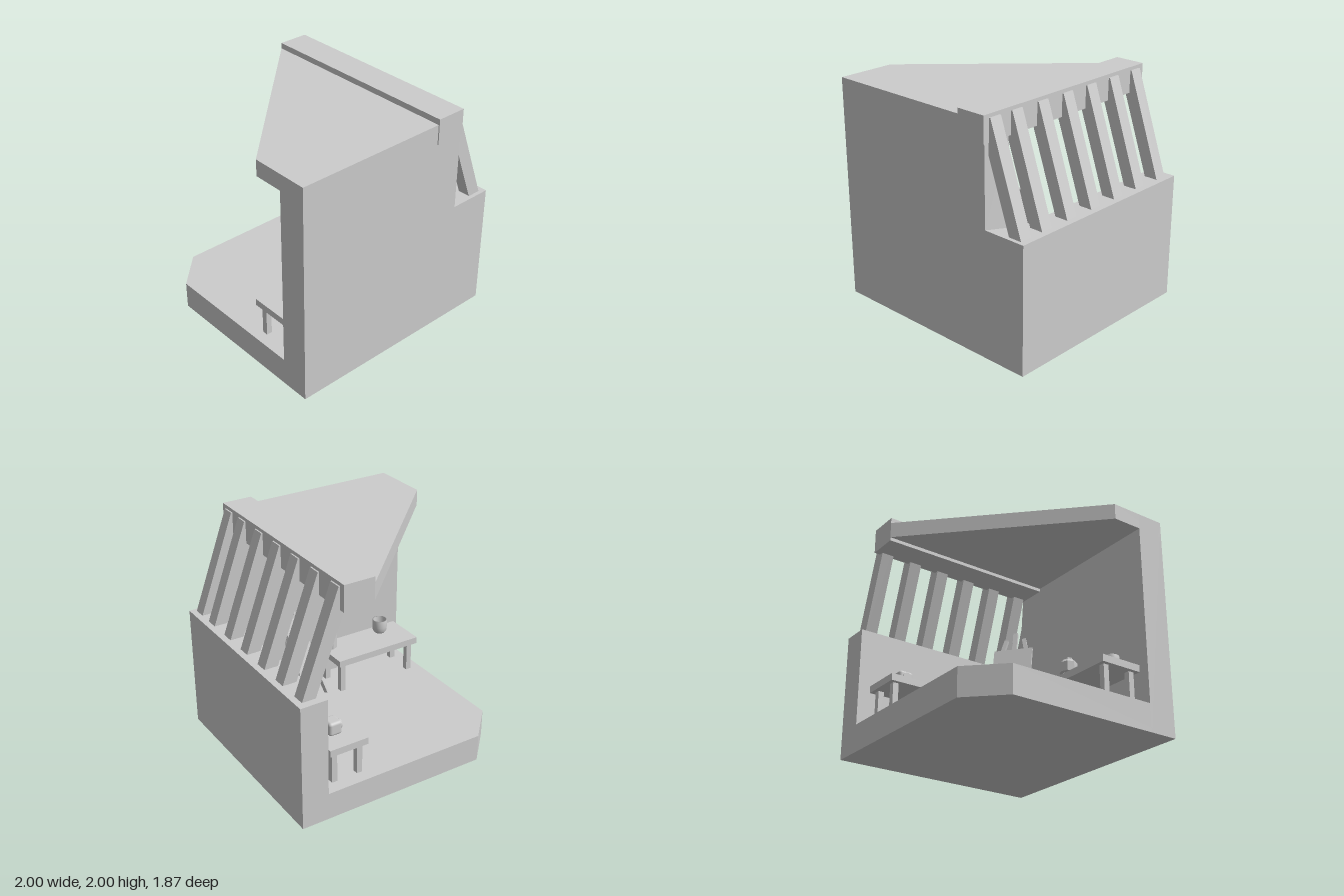
import * as THREE from 'three';
import { RoundedBoxGeometry } from 'three/addons/geometries/RoundedBoxGeometry.js';
import { ConvexGeometry } from 'three/addons/geometries/ConvexGeometry.js';

const grey = new THREE.MeshStandardMaterial({ color: 0xcccccc });
grey.name = 'plain grey';
const greyOpen = grey;
greyOpen.side = THREE.DoubleSide;

const V = (x, y, z) => new THREE.Vector3(x, y, z);

function add(parent, name, geometry, x = 0, y = 0, z = 0) {
  const mesh = new THREE.Mesh(geometry, grey);
  mesh.name = name;
  mesh.position.set(x, y, z);
  parent.add(mesh);
  return mesh;
}

function group(parent, name, x = 0, y = 0, z = 0) {
  const g = new THREE.Group();
  g.name = name;
  g.position.set(x, y, z);
  parent.add(g);
  return g;
}

// Prism from a plan outline of [x, z] points, between two heights
function slab(parent, name, plan, y0, y1) {
  const shape = new THREE.Shape(plan.map(([x, z]) => new THREE.Vector2(x, -z)));
  const geo = new THREE.ExtrudeGeometry(shape, { depth: y1 - y0, bevelEnabled: false });
  geo.rotateX(-Math.PI / 2);
  return add(parent, name, geo, 0, y0, 0);
}

// Square bar between two points
function strut(parent, name, a, b, w, d = w) {
  const mesh = add(parent, name, new THREE.BoxGeometry(w, a.distanceTo(b), d));
  mesh.position.copy(a).lerp(b, 0.5);
  mesh.quaternion.setFromUnitVectors(V(0, 1, 0), b.clone().sub(a).normalize());
  return mesh;
}

function table(parent, name, x0, x1, z0, z1) {
  const floor = 0.24, top = 0.573, thick = 0.06, inset = 0.06;
  const g = group(parent, name);
  add(g, 'tableTop', new THREE.BoxGeometry(x1 - x0, thick, z1 - z0),
    (x0 + x1) / 2, top - thick / 2, (z0 + z1) / 2);
  const h = top - thick - floor;
  for (const x of [x0 + inset, x1 - inset])
    for (const z of [z0 + inset, z1 - inset])
      add(g, 'tableLeg', new THREE.BoxGeometry(0.05, h, 0.05), x, floor + h / 2, z);
}

function lathe(parent, name, profile, sides, x, y, z) {
  const pts = profile.map(([r, h]) => new THREE.Vector2(r, h));
  return add(parent, name, new THREE.LatheGeometry(pts, sides), x, y, z);
}

export function createModel() {
  const model = new THREE.Group();
  model.name = 'studioRoom';

  // Shell: floor, full-height front wall, low right wall and cut-away ceiling
  const room = group(model, 'room');
  slab(room, 'floor', [[-1, 0.925], [-1, -0.65], [-0.72, -0.935], [1, -0.935], [1, 0.925]], 0, 0.24);
  add(room, 'frontWall', new THREE.BoxGeometry(1.615, 1.95, 0.25), -0.1925, 0.975, 0.8);
  slab(room, 'lowWall',
    [[0.615, 0.925], [1, 0.925], [1, -0.935], [0.763, -0.935], [0.763, 0.675]], 0, 1.1);
  add(room, 'wallSplay', new ConvexGeometry([
    V(0.615, 1.78, 0.675), V(0.615, 1.1, 0.925), V(0.763, 0.24, 0.675), V(0.615, 0.24, 0.675)]));
  slab(room, 'ceiling',
    [[-1, 0.925], [-1, 0.41], [0.355, -0.935], [0.61, -0.935], [0.61, 0.925]], 1.81, 1.95);
  add(room, 'roofBeam', new THREE.BoxGeometry(0.265, 0.22, 1.87), 0.4875, 1.89, 0);

  // Sloping window slats, slightly skewed along z
  const slatShape = new THREE.Shape([[0.95, 1.09], [0.632, 1.97], [0.51, 1.97], [0.83, 1.09]]
    .map(([x, y]) => new THREE.Vector2(x, y)));
  for (const z of [0.83, 0.6, 0.315, 0.03, -0.253, -0.537, -0.82]) {
    const geo = new THREE.ExtrudeGeometry(slatShape, { depth: 0.11, bevelEnabled: false });
    const p = geo.attributes.position;
    for (let i = 0; i < p.count; i++) p.setZ(i, p.getZ(i) - 0.055 - 0.014 * (p.getY(i) - 1.5));
    geo.computeVertexNormals();
    add(room, 'windowSlat', geo, 0, 0, z);
  }

  // Furniture
  table(model, 'sideTable', 0.345, 0.7, -0.86, -0.04);
  table(model, 'frontTable', -0.94, -0.1, 0.26, 0.64);

  // Easel, turned towards the open corner and leaning back
  const easel = group(model, 'easel');
  const frame = group(easel, 'easelFrame', 0.2, 0.24, 0.185);
  frame.rotation.set(-0.273, -2.47, 0, 'YXZ');
  for (const s of [-1, 1])
    strut(frame, 'easelFrontLeg', V(s * 0.285, 0, 0), V(s * 0.08, 1.007, 0), 0.035, 0.03);
  strut(frame, 'easelMast', V(0, 0.36, 0), V(0, 1.08, 0), 0.04, 0.03);
  add(frame, 'easelTray', new THREE.BoxGeometry(0.63, 0.025, 0.08), 0, 0.385, 0.035);
  add(frame, 'canvas', new THREE.BoxGeometry(0.345, 0.47, 0.025), 0, 0.633, 0.03);
  strut(easel, 'easelRearLeg', V(0.385, 1.19, 0.4), V(0.46, 0.24, 0.62), 0.035);

  // Faceted lidded jar
  const jar = lathe(model, 'jar', [[0, 0], [0.068, 0], [0.068, 0.15], [0.056, 0.16], [0.078, 0.17],
    [0.078, 0.255], [0.05, 0.285], [0.035, 0.285], [0.035, 0.305], [0, 0.31]], 8, -0.175, 0.573, 0.55);
  jar.geometry = jar.geometry.toNonIndexed();
  jar.geometry.computeVertexNormals();

  // Open rounded cup
  lathe(model, 'cup', [[0, 0], [0.05, 0], [0.063, 0.02], [0.068, 0.06], [0.066, 0.125],
    [0.058, 0.125], [0.058, 0.05], [0.045, 0.025], [0, 0.025]], 24, -0.72, 0.573, 0.545);

  // Small rounded box with a round front
  const box = group(model, 'smallBox', 0.545, 0.573, -0.64);
  add(box, 'boxBody', new RoundedBoxGeometry(0.12, 0.12, 0.13, 3, 0.025), 0, 0.06, 0);
  const dial = add(box, 'boxDial', new THREE.CylinderGeometry(0.04, 0.04, 0.02, 20), -0.062, 0.06, 0);
  dial.rotation.z = Math.PI / 2;

  return model;
}
